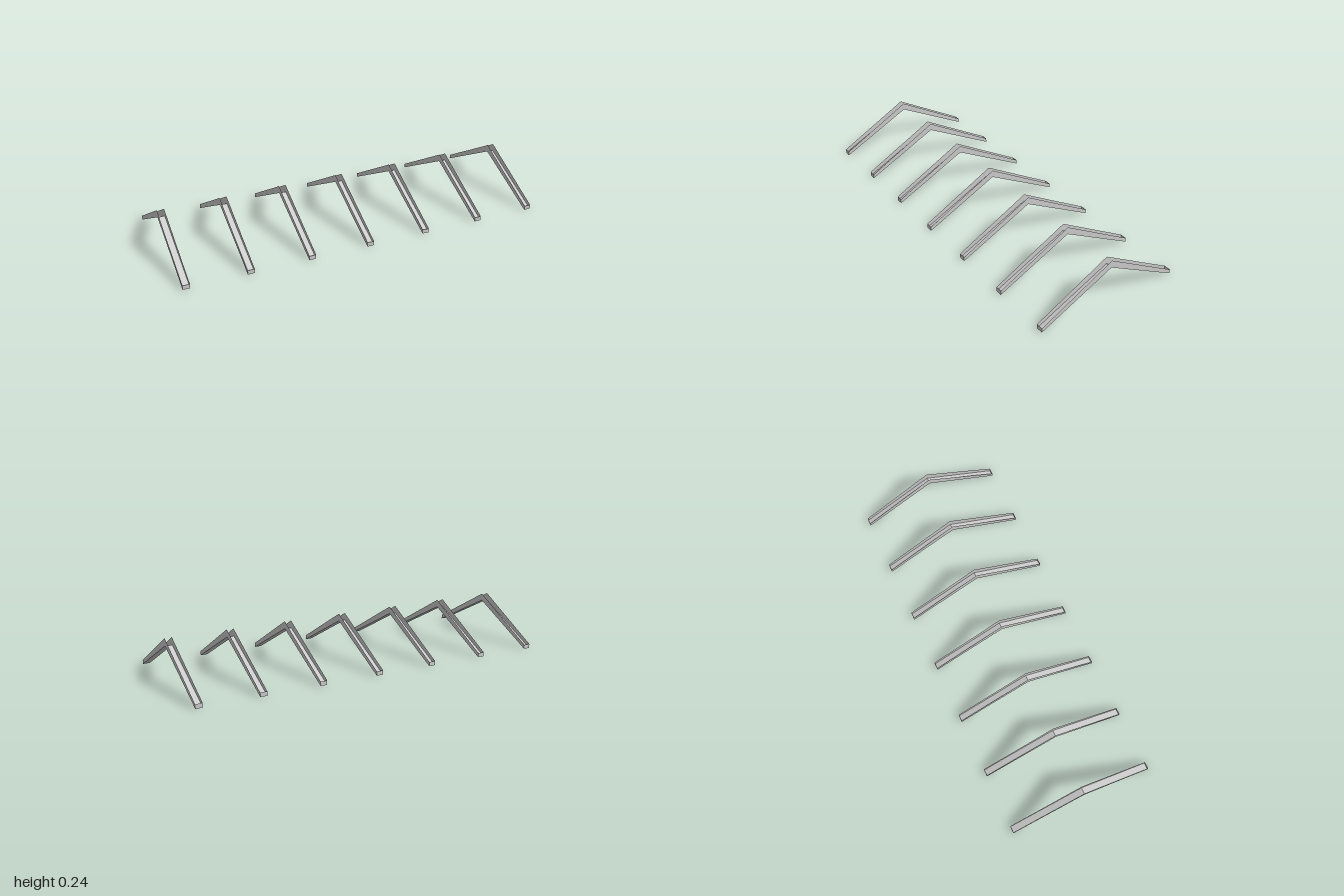
import * as THREE from 'three';
import { mergeGeometries } from 'three/addons/utils/BufferGeometryUtils.js';

const COUNT = 7;
const WIDTH = 0.037;
const HALF_SPAN = 0.395;
const TIP = 0.023;
const UNDER_RIDGE = 0.201;
const RIDGE = 0.241;

// Outline of the rafter pair as (z, y), from the front tip along the underside to the back tip
const underside = [
  [HALF_SPAN, TIP], [HALF_SPAN, 0], [0, UNDER_RIDGE], [-HALF_SPAN, 0], [-HALF_SPAN, TIP],
];

// Gable-shaped side wall, facing outward on the given side
function sideWall(side) {
  const outline = [...underside, [0, RIDGE]].map(([z, y]) => new THREE.Vector2(z, y));
  return new THREE.ShapeGeometry(new THREE.Shape(outline))
    .rotateY(side * Math.PI / 2)
    .translate(side * WIDTH / 2, 0, 0)
    .toNonIndexed();
}

// End caps and underside: one strip folded along the outline
function foldedStrip() {
  const plane = new THREE.PlaneGeometry(WIDTH, 1, 1, underside.length - 1);
  const pos = plane.attributes.position;
  for (let i = 0; i < pos.count; i++) {
    const [z, y] = underside[Math.floor(i / 2)];
    pos.setY(i, y);
    pos.setZ(i, z);
  }
  const strip = plane.toNonIndexed();
  strip.computeVertexNormals();
  return strip;
}

export function createModel() {
  const group = new THREE.Group();
  group.name = 'roofRafters';
  const material = new THREE.MeshStandardMaterial({
    color: 0xcccccc, flatShading: true, side: THREE.DoubleSide,
  });

  // Rafter pairs are channels, open along the upper side
  const geometry = mergeGeometries([sideWall(1), sideWall(-1), foldedStrip()]);
  const reach = 1 - WIDTH / 2;
  for (let i = 0; i < COUNT; i++) {
    const rafter = new THREE.Mesh(geometry, material);
    rafter.name = `rafterPair${i + 1}`;
    rafter.position.x = -reach + (2 * reach * i) / (COUNT - 1);
    group.add(rafter);
  }
  return group;
}
